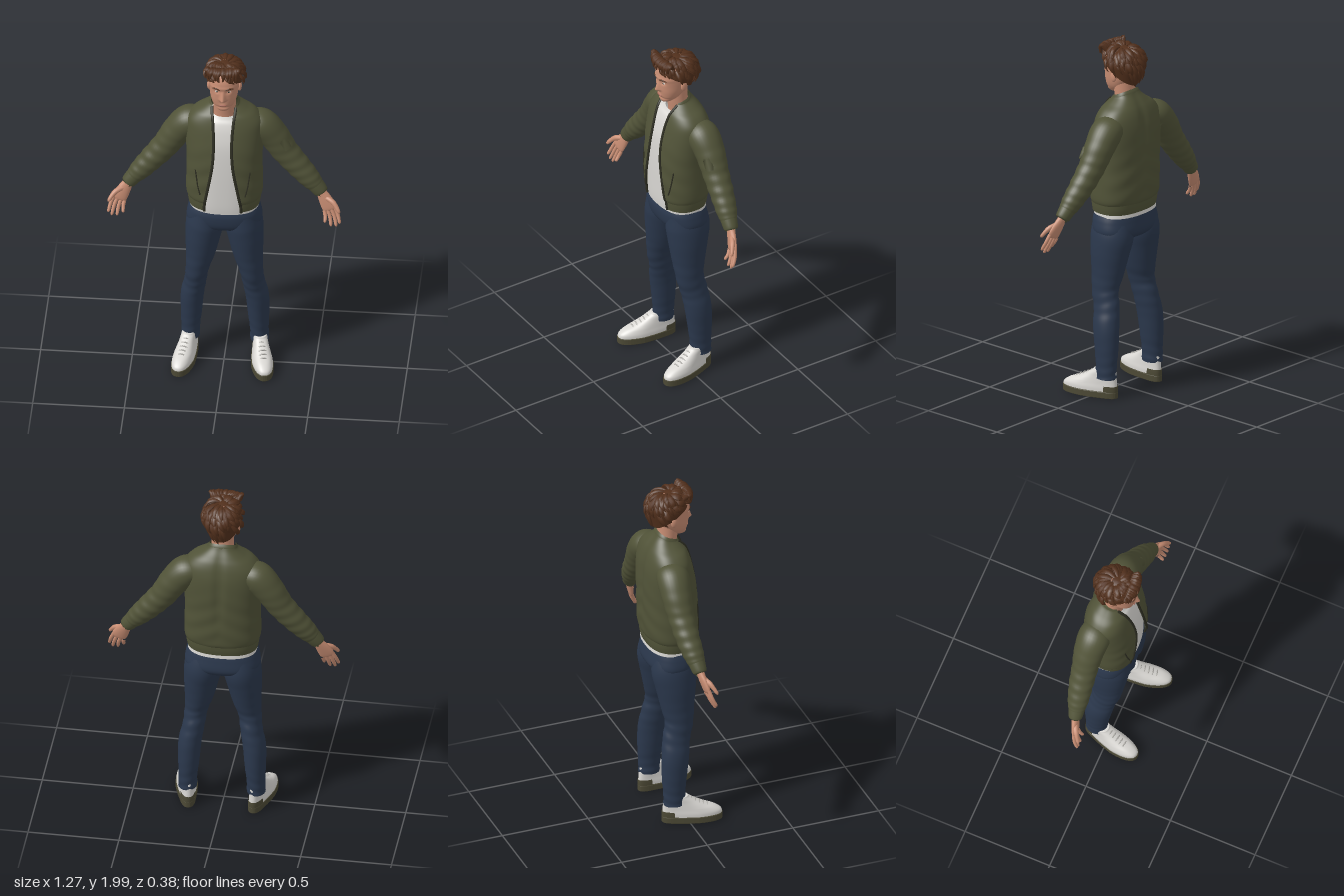
import * as THREE from 'three';

const { sin, cos, abs, sign, sqrt, exp, PI, min, max } = Math;
const paint = (name, color, side = THREE.FrontSide) => {
  const m = new THREE.MeshStandardMaterial({ color, side });
  m.name = name;
  return m;
};
const bell = (x, w) => exp(-((x / w) ** 2));

// Smooth interpolation through rows of numbers
const rowAt = (rows, t) => {
  const n = rows.length - 1, p = min(max(t, 0) * n, n - 1e-6), i = Math.floor(p), f = p - i;
  return rows[i].map((b, k) => {
    const c = rows[i + 1][k], a = (rows[i - 1] || rows[i])[k], d = (rows[i + 2] || rows[i + 1])[k];
    return b + 0.5 * f * (c - a + f * (2 * a - 5 * b + 4 * c - d + f * (3 * (b - c) + d - a)));
  });
};

// Surface from a grid of points, u around and v along
function grid(nu, nv, f, closed = true) {
  const pos = [], idx = [], cols = closed ? nu : nu + 1;
  for (let j = 0; j <= nv; j++) for (let i = 0; i < cols; i++) pos.push(...f(i / nu, j / nv));
  for (let j = 0; j < nv; j++) for (let i = 0; i < nu; i++) {
    const a = j * cols + i, b = j * cols + ((i + 1) % cols);
    idx.push(a, b, b + cols, a, b + cols, a + cols);
  }
  const g = new THREE.BufferGeometry();
  g.setAttribute('position', new THREE.Float32BufferAttribute(pos, 3));
  g.setIndex(idx);
  g.computeVertexNormals();
  return g;
}

// Point on a stack of rounded sections, rows: [y, halfWidth, zFront, zBack, tilt, openHalfWidth]
function ringPoint(row, th, n) {
  const [y, hw, zf, zb, tilt = 0] = row, s = sin(th), c = cos(th), p = 2 / n;
  return [hw * sign(s) * abs(s) ** p, y - tilt * c, (zf + zb) / 2 + ((zf - zb) / 2) * sign(c) * abs(c) ** p];
}
function stack(rows, { n = 2.4, nu = 64, nv = 40, arc = null, warp = (p) => p } = {}) {
  const open = rows[0].length > 5;
  return grid(nu, nv, (u, v) => {
    const r = rowAt(rows, v);
    const a = open ? Math.asin((r[5] / r[1]) ** (n / 2)) : 0;
    const th = arc ? arc[0] + (arc[1] - arc[0]) * u : a + (2 * PI - 2 * a) * u;
    return warp(ringPoint(r, th, n), cos(th));
  }, !open && !arc);
}

// Tube along rows: [x, y, z, radiusAcross, radiusAlongRef]
function sweep(rows, { nu = 10, nv = 12, ref = [0, 0, 1], round = 0, bump = () => 1 } = {}) {
  const T = new THREE.Vector3(), A = new THREE.Vector3(), B = new THREE.Vector3(), q = new THREE.Vector3();
  return grid(nu, nv, (u, v) => {
    const r = rowAt(rows, v);
    T.set(...rowAt(rows, v + 0.01)).sub(q.set(...rowAt(rows, v - 0.01))).normalize();
    B.set(...ref).addScaledVector(T, -T.dot(q.set(...ref))).normalize();
    A.crossVectors(T, B);
    let k = bump(u, v);
    if (round && v > 1 - round) k *= sqrt(max(0, 1 - ((v - 1 + round) / round) ** 2));
    const s = r[3] * k * sin(2 * PI * u), c = r[4] * k * cos(2 * PI * u);
    return [r[0] + A.x * s + B.x * c, r[1] + A.y * s + B.y * c, r[2] + A.z * s + B.z * c];
  });
}
const blob = (x, y, z, rx, ry, rz) => new THREE.SphereGeometry(1, 20, 14).scale(rx, ry, rz).translate(x, y, z);

function mirrored(geo) {
  const g = geo.index ? geo.clone() : geo.clone().setIndex([...Array(geo.attributes.position.count).keys()]);
  g.scale(-1, 1, 1);
  const ix = g.index.array;
  for (let i = 0; i < ix.length; i += 3) [ix[i], ix[i + 1]] = [ix[i + 1], ix[i]];
  g.computeVertexNormals();
  return g;
}

export function createModel() {
  const root = new THREE.Group();
  root.name = 'standingMan';
  const skin = paint('skin', 0xc98e74), hairMat = paint('hairBrown', 0x52301c, THREE.DoubleSide);
  const olive = paint('oliveCloth', 0x515338, THREE.DoubleSide), seam = paint('darkTrim', 0x2f2f23);
  const white = paint('whiteCloth', 0xd9d7d3, THREE.DoubleSide), denim = paint('denim', 0x2b384d, THREE.DoubleSide);
  const sole = paint('soleOlive', 0x4c4935, THREE.DoubleSide), lace = paint('laceGrey', 0xb4b2ad);
  const lip = paint('lipRose', 0xab6a5a);
  const add = (name, geo, mat) => {
    const m = new THREE.Mesh(geo, mat);
    m.name = name;
    root.add(m);
  };
  const pair = (name, geo, mat) => {
    add(name + 'Left', geo, mat);
    add(name + 'Right', mirrored(geo), mat);
  };

  // Jacket: open body, ribbed hem and collar
  const jacket = [
    [1.10, .198, .104, -.172, 0, .098], [1.13, .208, .112, -.184, 0, .094], [1.22, .208, .113, -.19, 0, .078],
    [1.34, .206, .11, -.192, 0, .058], [1.44, .21, .10, -.193, 0, .05], [1.53, .212, .082, -.188, 0, .05],
    [1.59, .205, .066, -.176, 0, .054], [1.635, .17, .05, -.16, 0, .058], [1.665, .125, .035, -.14, .005, .062],
    [1.69, .09, .022, -.118, .012, .064], [1.70, .08, .018, -.108, .018, .064]];
  const hem = [[1.05, .193, .1, -.168, 0, .1], [1.08, .198, .104, -.174, 0, .1], [1.11, .2, .106, -.176, 0, .097]];
  const collar = [[1.68, .088, .024, -.114, .016, .064], [1.7, .081, .018, -.104, .022, .064], [1.712, .074, .012, -.093, .024, .062]];
  add('jacketBody', stack(jacket, {
    nu: 96, nv: 60,
    warp: ([x, y, z], c) => [x, y, z + (c < 0 ? .012 * bell(x, .025) * bell(y - 1.48, .2) : 0)
      + .0025 * sin(y * 55 + abs(x) * 30) * bell(y - 1.25, .16)],
  }), olive);
  add('jacketHem', stack(hem, { nu: 96, nv: 6 }), olive);
  add('jacketCollar', stack(collar, { nv: 8 }), olive);
  const edge = [...hem.slice(0, 2), ...jacket].map((r) => {
    const p = ringPoint(r, Math.asin((r[5] / r[1]) ** 1.2), 2.4);
    return [p[0], p[1], p[2] + .001, .008, .006];
  });
  pair('jacketZip', sweep(edge, { nu: 8, nv: 60 }), seam);
  const welt = [[.14, .55], [.2, .64], [.28, .74]].map(([v, th]) => {
    const p = ringPoint(rowAt(jacket, v), th, 2.4);
    return [p[0] + .001, p[1], p[2] + .001, .004, .004];
  });
  pair('pocketWelt', sweep(welt, { nu: 6, nv: 8 }), seam);

  // Sleeves with folds at the elbow, and cuffs
  pair('sleeve', sweep([
    [.13, 1.545, -.075, .06, .075], [.195, 1.535, -.08, .085, .09], [.262, 1.46, -.085, .081, .083],
    [.322, 1.365, -.082, .073, .073], [.395, 1.275, -.075, .066, .066], [.46, 1.2, -.064, .057, .057],
    [.495, 1.16, -.058, .046, .046]], {
    nu: 32, nv: 60,
    bump: (u, v) => 1 + .028 * sin(v * 62 + 2.5 * sin(2 * PI * u)) * bell(v - .68, .27),
  }), olive);
  pair('cuff', sweep([[.472, 1.19, -.061, .047, .047], [.498, 1.156, -.057, .045, .045],
    [.525, 1.122, -.052, .04, .038], [.525, 1.121, -.052, .03, .03]], { nu: 28 }), olive);
  add('sleevePocket', sweep([[.316, 1.47, -.03, .025, .012], [.35, 1.41, -.03, .025, .012]], { nu: 4, nv: 1, ref: [.6, .4, .7] }), olive);

  // Shirt
  add('shirt', stack([[1.03, .19, .09, -.169], [1.1, .187, .094, -.165], [1.3, .188, .094, -.17],
    [1.45, .188, .086, -.17], [1.54, .18, .066, -.16], [1.595, .135, .044, -.14],
    [1.63, .085, .026, -.11], [1.645, .068, .016, -.1]].map((r, i) => [...r, i > 5 ? .012 : 0])), white);

  // Jeans: hips and creased legs
  add('jeansHips', stack([[.885, .1, .02, -.11], [.905, .17, .062, -.15], [.94, .205, .085, -.172],
    [1.0, .2, .093, -.167], [1.045, .186, .084, -.158]]), denim);
  pair('jeansLeg', sweep([
    [.095, 1.0, -.035, .095, .115], [.105, .91, -.04, .104, .126], [.117, .82, -.035, .097, .115],
    [.129, .71, -.03, .082, .097], [.147, .6, -.027, .064, .08], [.159, .5, -.047, .06, .077],
    [.177, .4, -.06, .063, .077], [.183, .28, -.068, .058, .07], [.187, .18, -.07, .051, .062],
    [.188, .11, -.07, .051, .061]], {
    nu: 40, nv: 90,
    bump: (u, v) => 1 + .02 * sin(v * 85 + 2 * sin(2 * PI * u)) * (bell(v - .5, .12) + bell(v - .98, .16)),
  }), denim);

  // Shoes, built straight and then turned outwards
  const turn = (g) => g.translate(0, 0, .07).rotateY(.2).translate(.188, 0, -.07);
  const narrow = ([x, y, z]) => [x * (z < .06 ? 1 - .22 * min(1, (.06 - z) / .12) : 1), y, z];
  pair('shoeUpper', turn(stack([[.03, .057, .193, -.134], [.055, .057, .188, -.136], [.078, .053, .155, -.135],
    [.098, .05, .105, -.133], [.122, .047, .055, -.131], [.148, .046, .012, -.129], [.158, .04, 0, -.124],
    [.15, .02, -.04, -.09]], { nu: 48, warp: narrow })), white);
  const outline = new THREE.Shape(Array.from({ length: 48 }, (_, i) => {
    const p = narrow(ringPoint([0, .057, .192, -.136], (i / 48) * 2 * PI, 2.4));
    return new THREE.Vector2(p[0], p[2]);
  }));
  pair('shoeSole', turn(new THREE.ExtrudeGeometry(outline, {
    depth: .03, bevelSize: .004, bevelThickness: .004, bevelSegments: 2,
  }).rotateX(PI / 2).translate(0, .034, 0)), sole);
  pair('heelPatch', turn(stack([[.03, .06, .19, -.139], [.055, .06, .188, -.14], [.07, .058, .17, -.139]],
    { arc: [PI * .68, PI * 1.32], nu: 20, nv: 6, warp: narrow })), sole);
  for (let i = 0; i < 5; i++) {
    const y = .096 + i * .011, z = .112 - i * .0225;
    pair('shoelace' + (i + 1), turn(sweep([[-.027, y - .012, z - .004, .004, .004], [0, y + .002, z, .004, .004],
      [.027, y - .012, z - .004, .004, .004]], { nu: 6, nv: 8 })), lace);
  }

  // Hands with palms forward
  pair('palm', sweep([[.5, 1.155, -.055, .028, .026], [.527, 1.115, -.05, .029, .021], [.55, 1.075, -.041, .038, .019],
    [.57, 1.035, -.032, .042, .015], [.58, 1.012, -.027, .036, .01]], { nu: 20, nv: 16, round: .15 }), skin);
  [[.033, .632, .948], [.011, .613, .928], [-.011, .584, .928], [-.032, .55, .95]].forEach(([o, x, y], i) => {
    const bx = .572 + .85 * o, by = 1.025 + .5 * o;
    pair('finger' + (i + 1), sweep([[bx, by, -.03, .0105, .0105], [(bx + x) / 2 + .004, (by + y) / 2, -.016, .0105, .01],
      [x, y, .006, .008, .008]], { round: .2 }), skin);
  });
  pair('thumb', sweep([[.55, 1.09, -.04, .015, .014], [.59, 1.075, -.02, .015, .014], [.614, 1.05, -.003, .012, .011],
    [.632, 1.022, .012, .009, .009]], { round: .2 }), skin);

  // Head with nose, eye sockets, brow ridge and lips raised from the surface
  add('neck', sweep([[0, 1.58, -.06, .075, .065], [0, 1.64, -.05, .064, .058], [0, 1.7, -.04, .061, .056],
    [0, 1.78, -.035, .062, .058]], { nu: 32 }), skin);
  add('head', stack([[1.7, .004, .04, .03], [1.704, .025, .059, -.005], [1.718, .043, .067, -.025], [1.745, .062, .071, -.06],
    [1.78, .074, .077, -.09], [1.82, .08, .08, -.115], [1.86, .083, .083, -.125], [1.9, .081, .08, -.125],
    [1.94, .066, .06, -.11], [1.965, .02, .01, -.06]], {
    n: 2.3, nu: 120, nv: 70,
    warp: ([x, y, z], c) => {
      if (c < 0) return [x, y, z];
      const ramp = y > 1.79 ? max(0, min(1, (1.85 - y) / .06)) : max(0, (y - 1.774) / .016);
      const socket = bell(abs(x) - .032, .015) * bell(y - 1.842, .011);
      return [x, y, z + .027 * ramp * bell(x, .008 + .007 * ramp) - .009 * socket
        + .004 * bell(y - 1.865, .01) + .005 * bell(x, .02) * bell(y - 1.752, .009) - .004 * bell(y - 1.733, .007)];
    },
  }), skin);
  pair('ear', blob(.084, 1.815, -.03, .011, .031, .019).rotateZ(0), skin);
  pair('eyeWhite', blob(.032, 1.84, .067, .012, .0045, .005), white);
  pair('iris', blob(.032, 1.84, .071, .0045, .0045, .003), seam);
  pair('eyebrow', sweep([[.013, 1.858, .084, .003, .003], [.036, 1.866, .08, .0045, .004], [.057, 1.86, .066, .002, .002]],
    { nu: 8, nv: 10 }), hairMat);
  add('lips', blob(0, 1.751, .0745, .021, .0065, .005), lip);

  // Hair: cap with a hairline, covered by swept locks
  const shell = (th, v, out = 0) => {
    const c = cos(th), low = c > 0 ? 1.83 + .075 * c ** .8 : 1.83 + .065 * c;
    const y = low + (1.968 - low) * sin(min(v, 1) * PI / 2);
    const k = y > 1.87 ? sqrt(max(0, 1 - ((y - 1.87) / .098) ** 2)) : 1 - (1.87 - y) * 2.2;
    return [sin(th) * k * (.098 + out), min(1.993, y + out * (y - 1.86) * 9), -.03 + c * k * (.114 + out)];
  };
  add('hairCap', grid(48, 20, (u, v) => shell(u * 2 * PI, v)), hairMat);
  let seed = 7;
  const rnd = () => (seed = (seed * 16807) % 2147483647) / 2147483647;
  for (let i = 0; i < 120; i++) {
    const th = i * 2.39996, v = .35 + .55 * rnd(), swirl = .25 + .4 * rnd(), lift = .012 + .012 * rnd();
    const size = .011 + .007 * rnd();
    const rows = [[0, .0, .5], [.35, .012, 1], [.7, lift, .8], [1, lift * .75, .1]].map(([t, out, w]) =>
      [...shell(th + swirl * t, v - .38 * t, out), size * w, size * .6 * w]);
    const [x, y, z] = rows[1];
    add('hairLock' + (i + 1), sweep(rows, { nu: 6, nv: 7, ref: [x, y - 1.86, z + .03] }), hairMat);
  }
  // Raised fringe
  for (let i = 0; i < 13; i++) {
    const x = -.085 + i * .0135, h = .008 * rnd(), s = .02 * (rnd() - .5);
    add('fringeLock' + (i + 1), sweep([[x * .8, 1.93, .02, .01, .008], [x, 1.968 + h, .052, .016, .012],
      [x * 1.1 + s, 1.958 + h, .09 - x * x * 4, .013, .01], [x * 1.15 + s * 2, 1.915 + h * 2, .094 - x * x * 5, .002, .002]],
    { nu: 7, nv: 10, ref: [0, .7, .7] }), hairMat);
  }
  return root;
}
